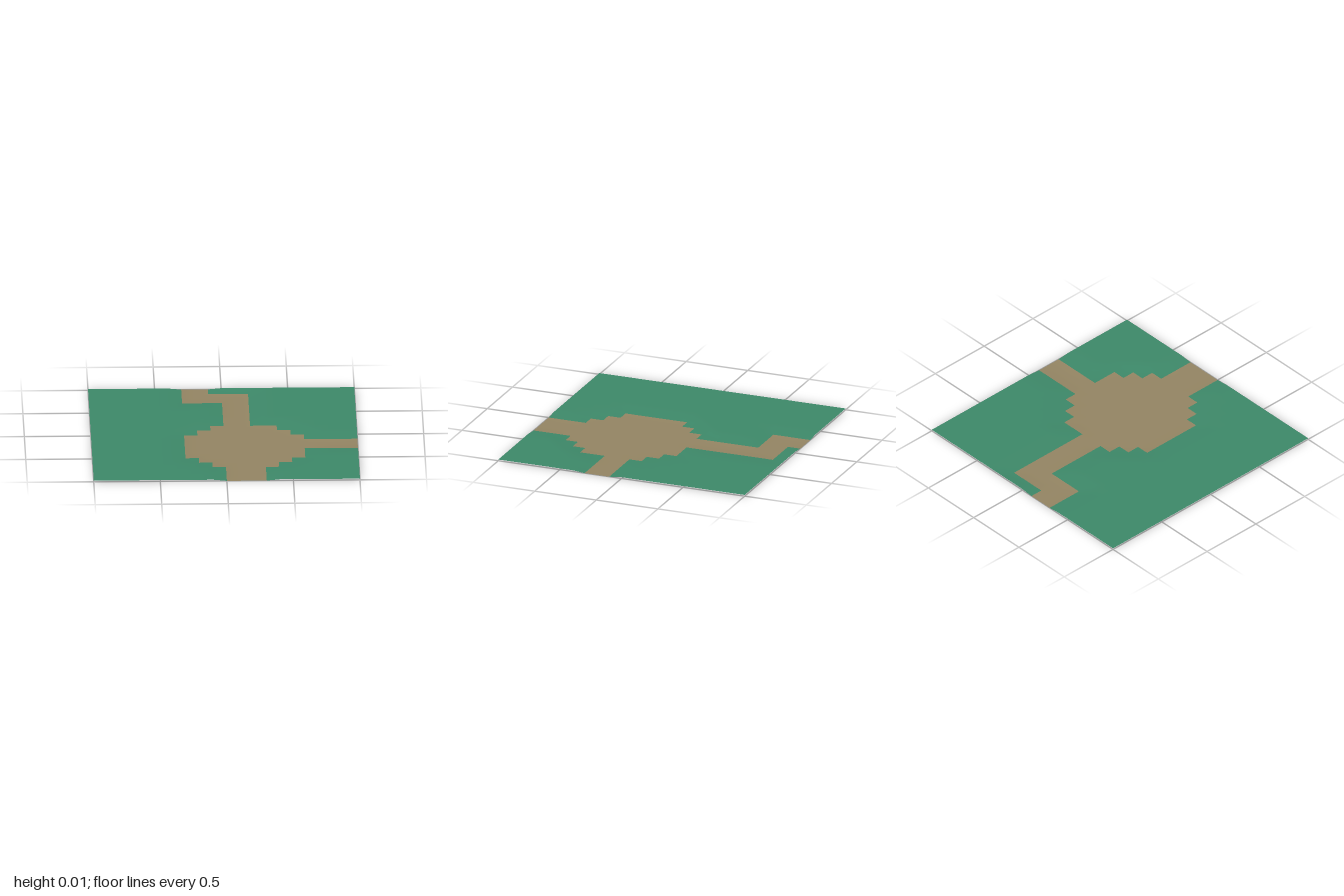
import * as THREE from 'three';

const CELLS = 20;    // tiles along each side, each 0.1 wide
const DEPTH = 0.01;  // how far the path sinks below the grass

// Rectangles of path tiles: [x0, x1, z0, z1] in tile counts from the left back corner
const PATH = [
  [7, 9, 0, 1], [7, 12, 1, 3], [10, 12, 3, 8],                    // winding back lane
  [9, 14, 8, 9], [8, 15, 9, 10], [7, 16, 10, 15],                 // stepped clearing
  [8, 15, 15, 16], [9, 14, 16, 17],
  [16, 20, 11, 13],                                               // side lane
  [10, 13, 17, 20],                                               // front lane
];

const isPathTile = (x, z) =>
  PATH.some(([x0, x1, z0, z1]) => x >= x0 && x < x1 && z >= z0 && z < z1);
const touchesPath = (x, z) =>
  PATH.some(([x0, x1, z0, z1]) => x >= x0 && x <= x1 && z >= z0 && z <= z1);

export function createModel() {
  const grass = new THREE.MeshStandardMaterial({ color: 0x3e8a6a, side: THREE.DoubleSide });
  grass.name = 'grassGreen';
  const earth = new THREE.MeshStandardMaterial({ color: 0x958664, side: THREE.DoubleSide });
  earth.name = 'earthBrown';

  // Ground sheet, lowered wherever a corner belongs to a path tile
  const sheet = new THREE.PlaneGeometry(2, 2, CELLS, CELLS).rotateX(-Math.PI / 2);
  const position = sheet.attributes.position;
  for (let i = 0; i < position.count; i++) {
    const x = i % (CELLS + 1), z = Math.floor(i / (CELLS + 1));
    position.setY(i, touchesPath(x, z) ? 0 : DEPTH);
  }
  sheet.computeVertexNormals();

  // Sort the tiles into grass and path, sharing the smooth normals
  const grassFaces = [], pathFaces = [];
  const index = Array.from(sheet.index.array);
  for (let z = 0; z < CELLS; z++) {
    for (let x = 0; x < CELLS; x++) {
      const start = (z * CELLS + x) * 6;
      (isPathTile(x, z) ? pathFaces : grassFaces).push(...index.slice(start, start + 6));
    }
  }

  const group = new THREE.Group();
  group.name = 'groundTile';
  const addPart = (name, faces, material) => {
    const geometry = sheet.clone();
    geometry.setIndex(faces);
    const mesh = new THREE.Mesh(geometry, material);
    mesh.name = name;
    group.add(mesh);
  };
  addPart('grass', grassFaces, grass);
  addPart('path', pathFaces, earth);
  return group;
}
